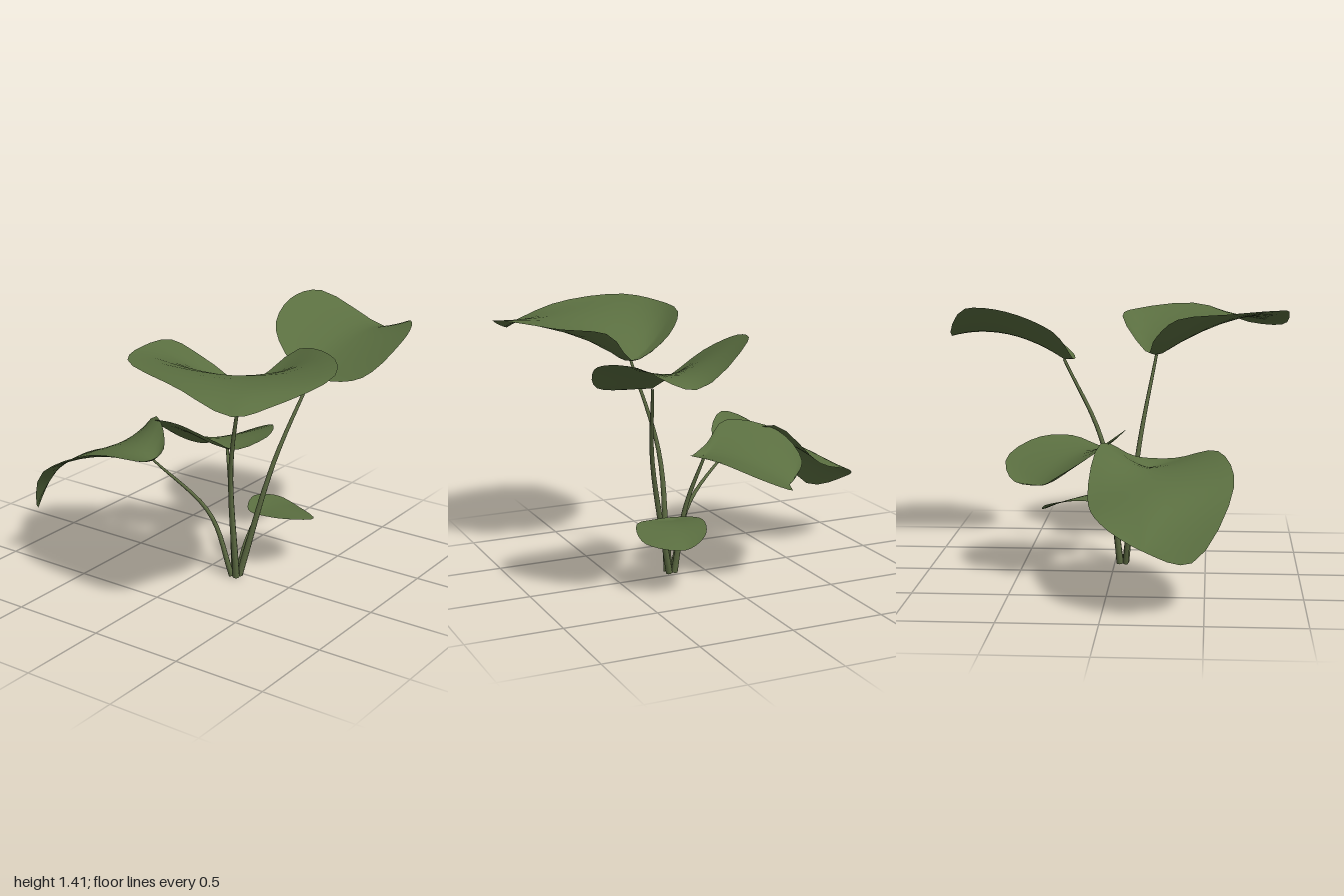
import * as THREE from 'three';
import { mergeVertices } from 'three/addons/utils/BufferGeometryUtils.js';

const leafGreen = new THREE.MeshStandardMaterial({ color: 0x5a6e40, side: THREE.DoubleSide });
leafGreen.name = 'leaf green';
const stemGreen = new THREE.MeshStandardMaterial({ color: 0x5c6a42 });
stemGreen.name = 'stem green';

const vec = (x, y, z) => new THREE.Vector3(x, y, z);

// Blade: curved ribs from one side of a smooth rim, over the midrib, to the other side
function leafGeometry(base, bend, tip, rim, stations = 18, half = 6) {
  const spine = new THREE.QuadraticBezierCurve3(base, bend, rim[tip]);
  const outline = new THREE.CatmullRomCurve3(rim, true);
  const axis = rim[tip].clone().sub(base).setY(0);
  const along = (p) => THREE.MathUtils.clamp(p.clone().sub(base).dot(axis) / axis.lengthSq(), 0, 1);
  const n = rim.length, start = n - 0.5, width = 2 * half + 1;
  const positions = [], index = [];
  for (let i = 0; i <= stations; i++) {
    const t = i / stations;
    const sides = [tip + n, tip].map((end) => outline.getPoint((THREE.MathUtils.lerp(start, end, t) / n) % 1));
    const root = spine.getPoint((along(sides[0]) + along(sides[1])) / 2);
    for (let j = -half; j <= half; j++) {
      const edge = sides[j < 0 ? 0 : 1], s = Math.abs(j) / half;
      const p = root.clone().lerp(edge, s);
      p.y = THREE.MathUtils.lerp(root.y, edge.y, s ** 1.6);
      positions.push(p.x, p.y, p.z);
    }
  }
  for (let i = 0; i < stations; i++) {
    for (let j = 0; j < width - 1; j++) {
      const a = i * width + j, b = a + width;
      index.push(a, b, a + 1, a + 1, b, b + 1);
    }
  }
  const raw = new THREE.BufferGeometry();
  raw.setAttribute('position', new THREE.Float32BufferAttribute(positions, 3));
  raw.setIndex(index);
  const geometry = mergeVertices(raw, 1e-4);
  geometry.computeVertexNormals();
  return geometry;
}

// Stem: a tube that narrows towards the leaf
function stemGeometry(points, thickness) {
  const curve = new THREE.CatmullRomCurve3(points);
  const segments = 14, sides = 8;
  const geometry = new THREE.TubeGeometry(curve, segments, 1, sides);
  const pos = geometry.attributes.position, p = vec(0, 0, 0);
  for (let i = 0; i < pos.count; i++) {
    const t = Math.floor(i / (sides + 1)) / segments;
    const centre = curve.getPointAt(t);
    p.fromBufferAttribute(pos, i).sub(centre);
    p.multiplyScalar(thickness * THREE.MathUtils.lerp(0.019, 0.008, t)).add(centre);
    pos.setXYZ(i, p.x, Math.max(p.y, 0), p.z);
  }
  return geometry;
}

// One leaf on its stem; the tip is one of the rim points
function addLeaf(model, name, { foot, knee, base, bend, tip, rim, thickness = 1 }) {
  const leaf = new THREE.Mesh(leafGeometry(base, bend, tip, rim), leafGreen);
  leaf.name = name + 'Leaf';
  const stem = new THREE.Mesh(stemGeometry([foot, knee, base], thickness), stemGreen);
  stem.name = name + 'Stem';
  model.add(leaf, stem);
}

export function createModel() {
  const model = new THREE.Group();
  model.name = 'leafyPlant';

  // Large high leaf, cupped upwards around its stem
  addLeaf(model, 'frontRight', {
    foot: vec(-0.06, 0.01, 0.2), knee: vec(-0.13, 0.65, 0.21),
    base: vec(-0.22, 1.15, 0.33), bend: vec(-0.56, 1.45, 0.52), tip: 5,
    rim: [vec(-0.22, 1.26, 0.12), vec(-0.34, 1.37, 0), vec(-0.62, 1.4, 0.01), vec(-0.87, 1.41, 0.14),
      vec(-0.95, 1.37, 0.48), vec(-0.92, 1.28, 0.76), vec(-0.72, 1.29, 0.85), vec(-0.46, 1.38, 1),
      vec(-0.1, 1.37, 0.77), vec(-0.02, 1.34, 0.54), vec(-0.17, 1.16, 0.33)],
  });

  // Low leaf drooping to the back
  addLeaf(model, 'backRight', {
    foot: vec(-0.06, 0.01, 0.17), knee: vec(-0.1, 0.36, 0.05), thickness: 0.8,
    base: vec(-0.2, 0.63, -0.25), bend: vec(-0.3, 0.71, -0.62), tip: 4,
    rim: [vec(-0.14, 0.68, -0.22), vec(0.03, 0.78, -0.4), vec(0.08, 0.55, -0.66), vec(0, 0.47, -0.89),
      vec(-0.2, 0.37, -1), vec(-0.44, 0.28, -0.87), vec(-0.64, 0.61, -0.64), vec(-0.56, 0.74, -0.37),
      vec(-0.33, 0.67, -0.2)],
  });

  // High leaf folded softly along its midrib
  addLeaf(model, 'frontLeft', {
    foot: vec(-0.03, 0.01, 0.2), knee: vec(0.08, 0.66, 0.34),
    base: vec(0.3, 1.11, 0.43), bend: vec(0.62, 1.32, 0.45), tip: 4,
    rim: [vec(0.25, 1.12, 0.4), vec(0.34, 1.29, 0.17), vec(0.58, 1.4, 0.1), vec(0.81, 1.41, 0.16),
      vec(0.94, 1.23, 0.49), vec(0.8, 1.33, 0.73), vec(0.54, 1.29, 0.82), vec(0.29, 1.13, 0.71)],
  });

  // Middle leaf with a twisted blade
  addLeaf(model, 'backLeft', {
    foot: vec(-0.03, 0.01, 0.17), knee: vec(0.01, 0.38, 0.12),
    base: vec(0.08, 0.67, 0.04), bend: vec(0.24, 0.7, -0.14), tip: 4,
    rim: [vec(0.02, 0.72, 0), vec(-0.08, 0.81, -0.16), vec(0.03, 0.75, -0.42), vec(0.24, 0.62, -0.46),
      vec(0.36, 0.54, -0.32), vec(0.5, 0.55, -0.26), vec(0.56, 0.64, -0.06), vec(0.41, 0.72, 0.12),
      vec(0.23, 0.72, 0.19), vec(0.07, 0.68, 0.1)],
  });

  // Small young leaf near the ground
  addLeaf(model, 'small', {
    foot: vec(-0.04, 0.01, 0.19), knee: vec(0, 0.18, 0.21), thickness: 0.6,
    base: vec(0.09, 0.34, 0.23), bend: vec(0.24, 0.365, 0.28), tip: 3,
    rim: [vec(0.07, 0.35, 0.19), vec(0.22, 0.37, 0.12), vec(0.38, 0.33, 0.18), vec(0.41, 0.28, 0.3),
      vec(0.28, 0.3, 0.47), vec(0.1, 0.35, 0.44), vec(0.06, 0.35, 0.33)],
  });

  return model;
}
